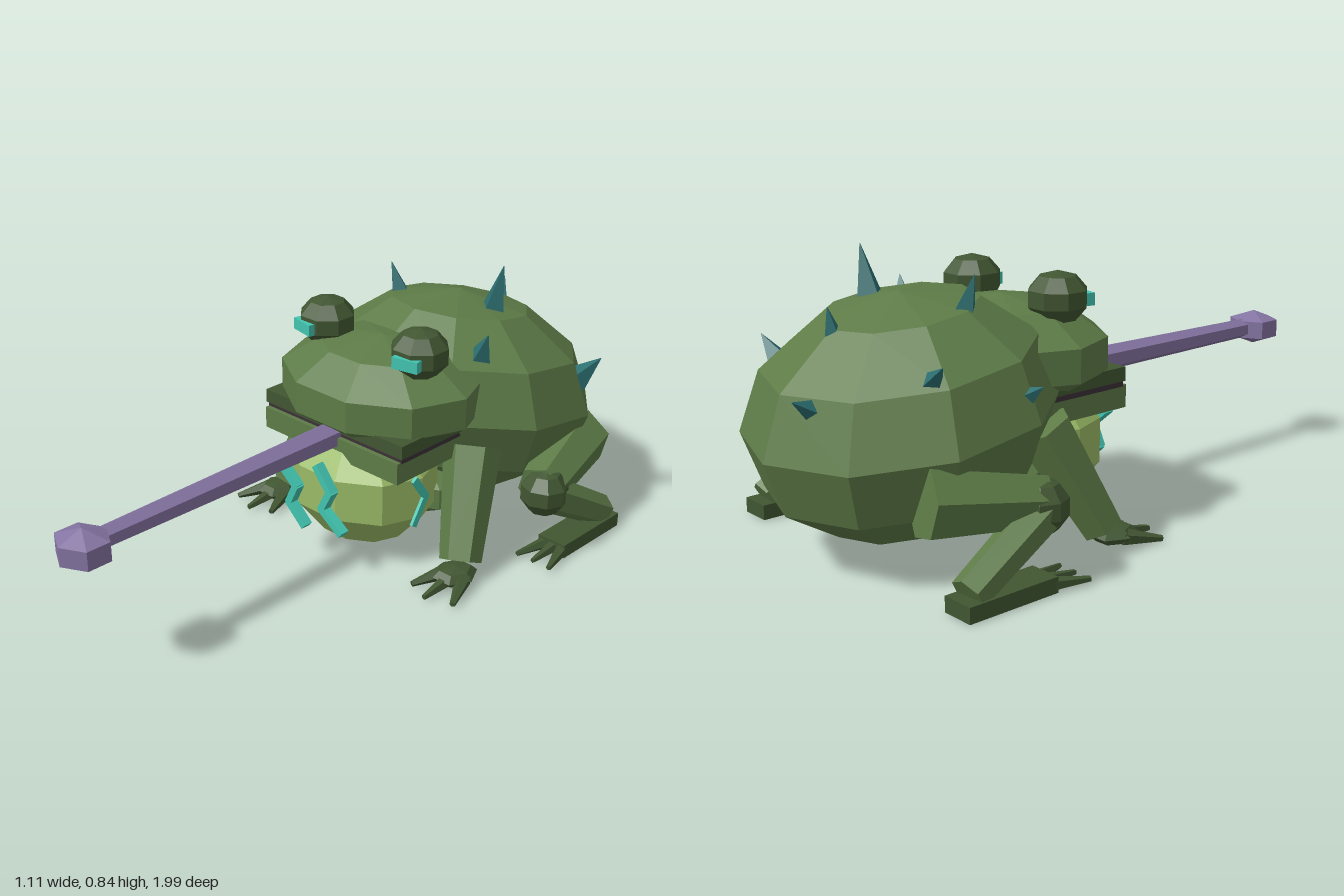
import * as THREE from 'three';

const mat = (name, color) => Object.assign(new THREE.MeshStandardMaterial({ color }), { name });
const V = (a) => new THREE.Vector3(...a);

export function createModel() {
  const root = new THREE.Group();
  root.name = 'hornedToad';
  const skin = mat('skin green', 0x5d7b47);
  const dark = mat('dark green', 0x415632);
  const belly = mat('pale belly green', 0x9aba66);
  const glow = mat('bright teal', 0x42c4b0);
  const horn = mat('deep teal', 0x2c6e70);
  const flesh = mat('tongue purple', 0x8474a2);
  const mouthDark = mat('mouth dark', 0x3c3238);

  // Facet a geometry and add it as a named mesh
  const add = (name, geometry, material) => {
    const g = geometry.index ? geometry.toNonIndexed() : geometry;
    g.computeVertexNormals();
    const mesh = new THREE.Mesh(g, material);
    mesh.name = name;
    root.add(mesh);
    return mesh;
  };

  // Low-poly ellipsoid; turn rotates the segments about y
  const ball = (name, m, pos, radii, w, h, turn = 0, shear = 0) => {
    const g = new THREE.SphereGeometry(1, w, h).rotateY(turn).scale(...radii);
    const p = g.attributes.position;
    for (let i = 0; i < p.count; i++) p.setY(i, p.getY(i) + shear * p.getZ(i));
    return add(name, g.translate(...pos), m);
  };

  const box = (name, m, pos, size) =>
    add(name, new THREE.BoxGeometry(...size).translate(...pos), m);

  // Tapered prism from point a to point b
  const limb = (name, m, a, b, ra, rb, sides = 6) => {
    const d = V(b).sub(V(a));
    const g = new THREE.CylinderGeometry(rb, ra, d.length(), sides);
    const q = new THREE.Quaternion().setFromUnitVectors(V([0, 1, 0]), d.clone().normalize());
    const c = V(a).addScaledVector(d, 0.5);
    return add(name, g.applyQuaternion(q).translate(c.x, c.y, c.z), m);
  };

  // Body, with the rear sloping down
  ball('body', skin, [0, 0.4, -0.56], [0.45, 0.33, 0.435], 10, 6, Math.PI / 2, 0.15);
  ball('chest', skin, [0, 0.18, -0.34], [0.29, 0.11, 0.2], 10, 5);
  ball('bellyPatch', belly, [0, 0.16, -0.5], [0.16, 0.1, 0.17], 8, 5);
  ball('throat', belly, [0, 0.24, -0.12], [0.258, 0.215, 0.222], 10, 5);

  // Head and mouth
  ball('head', skin, [0, 0.52, -0.2], [0.352, 0.158, 0.293], 10, 5);
  box('upperLip', dark, [0, 0.453, -0.14], [0.57, 0.042, 0.32]);
  box('mouth', mouthDark, [0, 0.425, -0.14], [0.56, 0.02, 0.31]);
  box('lowerJaw', skin, [0, 0.385, -0.13], [0.555, 0.068, 0.32]);

  // Tongue with a blunt tip
  limb('tongue', flesh, [0, 0.415, -0.05], [0, 0.412, 0.9], 0.044, 0.032);
  ball('tongueTip', flesh, [0, 0.41, 0.925], [0.095, 0.057, 0.0866], 6, 3, Math.PI / 2);

  for (const [s, side] of [[1, 'left'], [-1, 'right']]) {
    // Eyes
    ball(side + 'Eye', dark, [s * 0.19, 0.685, -0.155], [0.092, 0.077, 0.092], 8, 5, Math.PI / 8);
    const iris = add(side + 'Iris', new THREE.BoxGeometry(0.085, 0.036, 0.03), glow);
    iris.position.set(s * 0.208, 0.678, -0.078);
    iris.rotation.y = s * 0.2;

    // Front legs and fanned toes
    limb(side + 'FrontLeg', skin, [s * 0.285, 0.36, -0.3], [s * 0.375, 0.06, -0.155], 0.088, 0.064);
    ball(side + 'FrontPalm', dark, [s * 0.385, 0.035, -0.12], [0.065, 0.028, 0.075], 6, 4);
    for (const [x, z] of [[0.31, -0.01], [0.385, 0.02], [0.47, -0.01]])
      limb(side + 'FrontToe', dark, [s * (0.385 + (x - 0.385) * 0.4), 0.032, -0.12], [s * x, 0.014, z], 0.026, 0.009, 5);

    // Hind legs folded at the knee
    limb(side + 'Thigh', skin, [s * 0.36, 0.27, -0.76], [s * 0.445, 0.225, -0.44], 0.1, 0.075);
    ball(side + 'Knee', dark, [s * 0.455, 0.215, -0.45], [0.077, 0.077, 0.077], 8, 5);
    limb(side + 'Shin', skin, [s * 0.465, 0.205, -0.46], [s * 0.485, 0.055, -0.72], 0.06, 0.052);
    box(side + 'HindFoot', dark, [s * 0.485, 0.025, -0.61], [0.1, 0.045, 0.29]);
    for (const x of [0.43, 0.49, 0.55])
      limb(side + 'HindToe', dark, [s * (0.485 + (x - 0.485) * 0.4), 0.025, -0.5], [s * x, 0.018, -0.365], 0.023, 0.008, 5);
  }

  // Back spikes: base, tip, radius
  const spikes = [
    [[0.24, 0.61, -0.37], [0.285, 0.71, -0.35], 0.045],
    [[0.13, 0.68, -0.56], [0.16, 0.84, -0.57], 0.046],
    [[0.36, 0.48, -0.71], [0.43, 0.565, -0.735], 0.045],
    [[0, 0.64, -0.77], [0, 0.715, -0.785], 0.026],
    [[-0.1, 0.48, -0.9], [-0.105, 0.515, -0.965], 0.032],
    [[-0.32, 0.56, -0.69], [-0.38, 0.61, -0.705], 0.03],
    [[-0.18, 0.68, -0.48], [-0.21, 0.79, -0.465], 0.038],
    [[-0.37, 0.48, -0.44], [-0.44, 0.525, -0.43], 0.036],
  ];
  for (const [a, b, r] of spikes) limb('backSpike', horn, a, b, r, 0.001, 4);

  // Zigzag throat markings made of straight bars
  const zigzag = (pts, place) => {
    for (let i = 0; i < pts.length - 1; i++) {
      const [[ax, ay], [bx, by]] = [pts[i], pts[i + 1]];
      const g = new THREE.BoxGeometry(Math.hypot(bx - ax, by - ay) + 0.01, 0.023, 1)
        .rotateZ(Math.atan2(by - ay, bx - ax))
        .translate((ax + bx) / 2, (ay + by) / 2, 0);
      add('throatMarking', place(g), glow);
    }
  };
  const front = (g) => g.scale(1, 1, 0.03).translate(0, 0, 0.095);
  const flank = (g) => g.scale(1, 1, 0.01).rotateY(Math.PI / 2).translate(0.25, 0, 0);
  zigzag([[-0.135, 0.3], [-0.068, 0.245], [-0.1, 0.18], [-0.035, 0.122]], front);
  zigzag([[0.02, 0.345], [0.077, 0.277], [0.042, 0.21], [0.122, 0.155]], front);
  zigzag([[0.08, 0.315], [0.13, 0.245], [0.08, 0.165]], flank);

  return root;
}
